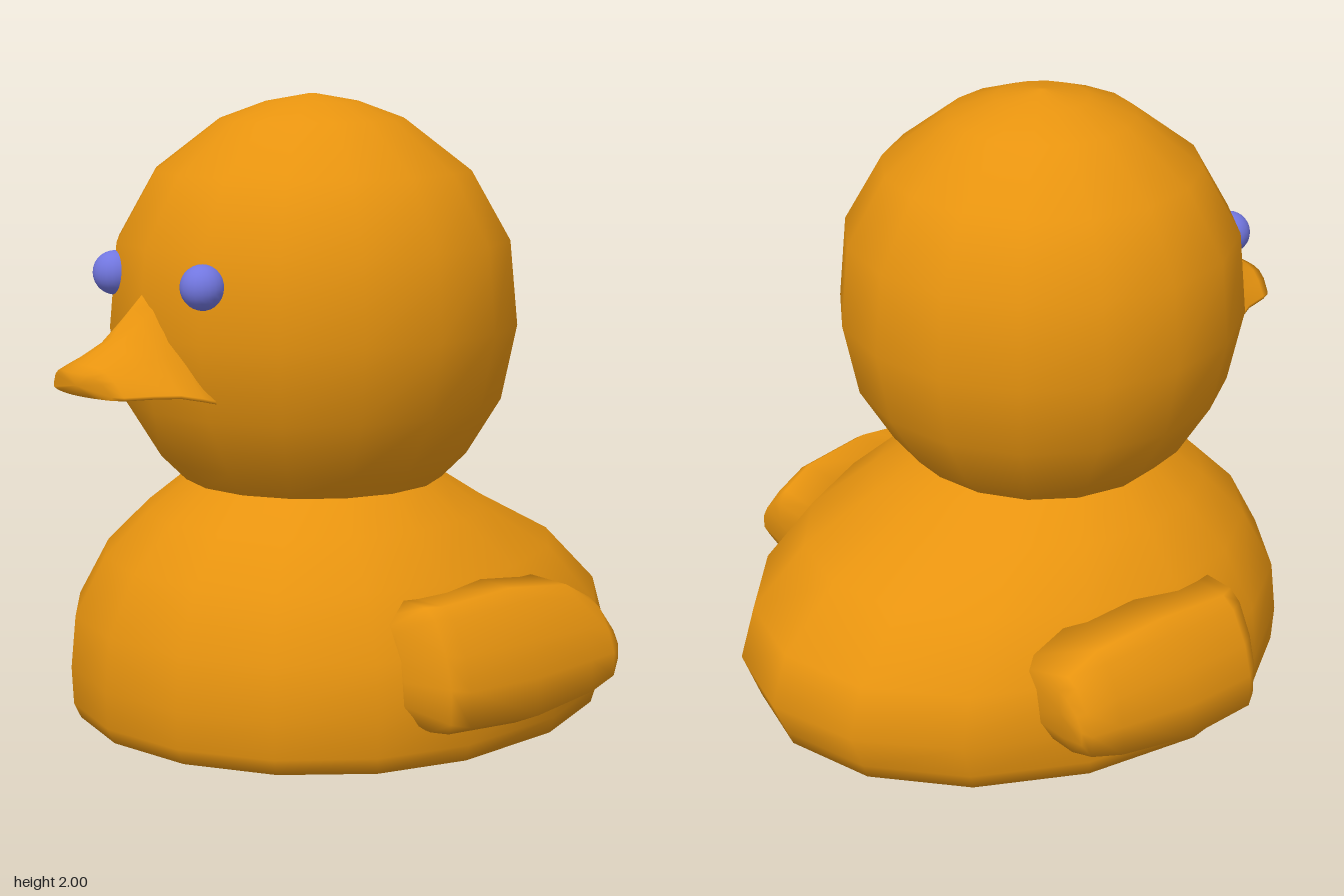
import * as THREE from 'three';

const SEGMENTS = 16;

// Smooth skin over closed rings; each ring runs counter-clockwise seen from the end of travel.
function loft(rings, capStart, capEnd) {
  const n = rings[0].length, pos = [], index = [];
  for (const ring of rings) for (const p of ring) pos.push(...p);
  for (let r = 0; r < rings.length - 1; r++) {
    for (let i = 0; i < n; i++) {
      const a = r * n + i, b = r * n + (i + 1) % n;
      index.push(a, b, b + n, a, b + n, a + n);
    }
  }
  const cap = (ring, start, flip) => {
    const c = pos.length / 3;
    for (let k = 0; k < 3; k++) pos.push(ring.reduce((s, p) => s + p[k], 0) / n);
    for (let i = 0; i < n; i++) {
      const a = start + i, b = start + (i + 1) % n;
      index.push(c, flip ? b : a, flip ? a : b);
    }
  };
  if (capStart) cap(rings[0], 0, true);
  if (capEnd) cap(rings[rings.length - 1], (rings.length - 1) * n, false);
  const g = new THREE.BufferGeometry();
  g.setAttribute('position', new THREE.Float32BufferAttribute(pos, 3));
  g.setIndex(index);
  g.computeVertexNormals();
  return g;
}

// Horizontal egg-shaped ring: half width, front z and back z, widest at z = 0.1
function eggRing([y, w, front, back]) {
  return Array.from({ length: SEGMENTS }, (_, i) => {
    const a = (i / SEGMENTS) * Math.PI * 2, c = Math.cos(a);
    return [w * Math.sin(a), y, 0.1 + c * (c > 0 ? front - 0.1 : 0.1 - back)];
  });
}

// Beak section: flat underside, bell-shaped top, bowed tip
function beakRing([z, w, bottom, top, power, bow]) {
  const steps = 10, under = [], over = [];
  for (let i = 0; i <= steps; i++) {
    const u = (i / steps) * 2 - 1, zz = z - bow * u * u;
    under.push([u * w, bottom, zz]);
    const h = Math.pow(1 - Math.pow(Math.abs(u), power), 1.2);
    over.push([-u * w, bottom + 0.01 + (top - bottom - 0.01) * h, zz]);
  }
  return [...under, ...over];
}

// Wing section: [distance outward, height fraction], from the top inwards to the bottom
const wingProfile = [[0.6, 1], [0.8, 1], [0.85, 0.92], [0.91, 0.66], [0.94, 0.4], [0.94, 0.12], [0.83, 0], [0.6, 0]];
function wing(side) {
  const stations = [
    // z, outward scale, bottom, top
    [-0.45, 0.80, 0.23, 0.39],
    [-0.42, 0.84, 0.17, 0.43],
    [-0.31, 0.90, 0.13, 0.49],
    [-0.06, 1.00, 0.10, 0.52],
    [0.2, 0.98, 0.11, 0.50],
    [0.25, 0.88, 0.12, 0.50],
    [0.32, 0.48, 0.17, 0.44],
  ];
  return loft(stations.map(([z, k, b, t]) => {
    const ring = wingProfile.map(([x, f]) => [side * (0.6 + (x - 0.6) * k), b + (t - b) * f, z]);
    return side > 0 ? ring.reverse() : ring;
  }), true, true);
}

export function createModel() {
  const model = new THREE.Group();
  const orange = new THREE.MeshStandardMaterial({ name: 'orange', color: 0xe8940f });
  const blue = new THREE.MeshStandardMaterial({ name: 'blue', color: 0x7277e0 });
  const add = (name, geometry, material) => {
    const mesh = new THREE.Mesh(geometry, material);
    mesh.name = name;
    model.add(mesh);
    return mesh;
  };

  // Egg-shaped body with a flat base and raised tail
  add('body', loft([
    [0, 0.70, 0.77, -0.82],
    [0, 0.79, 0.87, -0.93],
    [0.05, 0.80, 0.895, -0.95],
    [0.17, 0.81, 0.90, -1.0],
    [0.34, 0.79, 0.885, -0.945],
    [0.53, 0.68, 0.79, -0.75],
    [0.67, 0.54, 0.65, -0.48],
    [0.77, 0.42, 0.52, -0.32],
  ].map(eggRing), true, false), orange);

  // Round head narrowing into the neck
  add('head', loft([
    [0.77, 0.42], [0.85, 0.50], [1.03, 0.61], [1.27, 0.66], [1.54, 0.635],
    [1.76, 0.51], [1.92, 0.30], [1.975, 0.15], [2.0, 0.01],
  ].map(([y, r]) => eggRing([y, r, 0.1 + r, 0.1 - r])), false, true), orange);

  // Flat bill flaring out of the face
  add('beak', loft([
    [0.58, 0.27, 1.07, 1.46, 1.3, 0],
    [0.72, 0.265, 1.10, 1.43, 1.2, 0.02],
    [0.79, 0.25, 1.115, 1.36, 1.3, 0.02],
    [0.86, 0.21, 1.115, 1.275, 1.8, 0.02],
    [0.96, 0.185, 1.115, 1.205, 4, 0.03],
    [1.0, 0.17, 1.118, 1.185, 5, 0.035],
  ].map(beakRing), true, true), orange);

  for (const [side, label] of [[1, 'left'], [-1, 'right']]) {
    add(label + 'Wing', wing(side), orange);
    add(label + 'Eye', new THREE.SphereGeometry(0.07, 20, 14), blue).position.set(side * 0.25, 1.445, 0.69);
  }
  return model;
}
